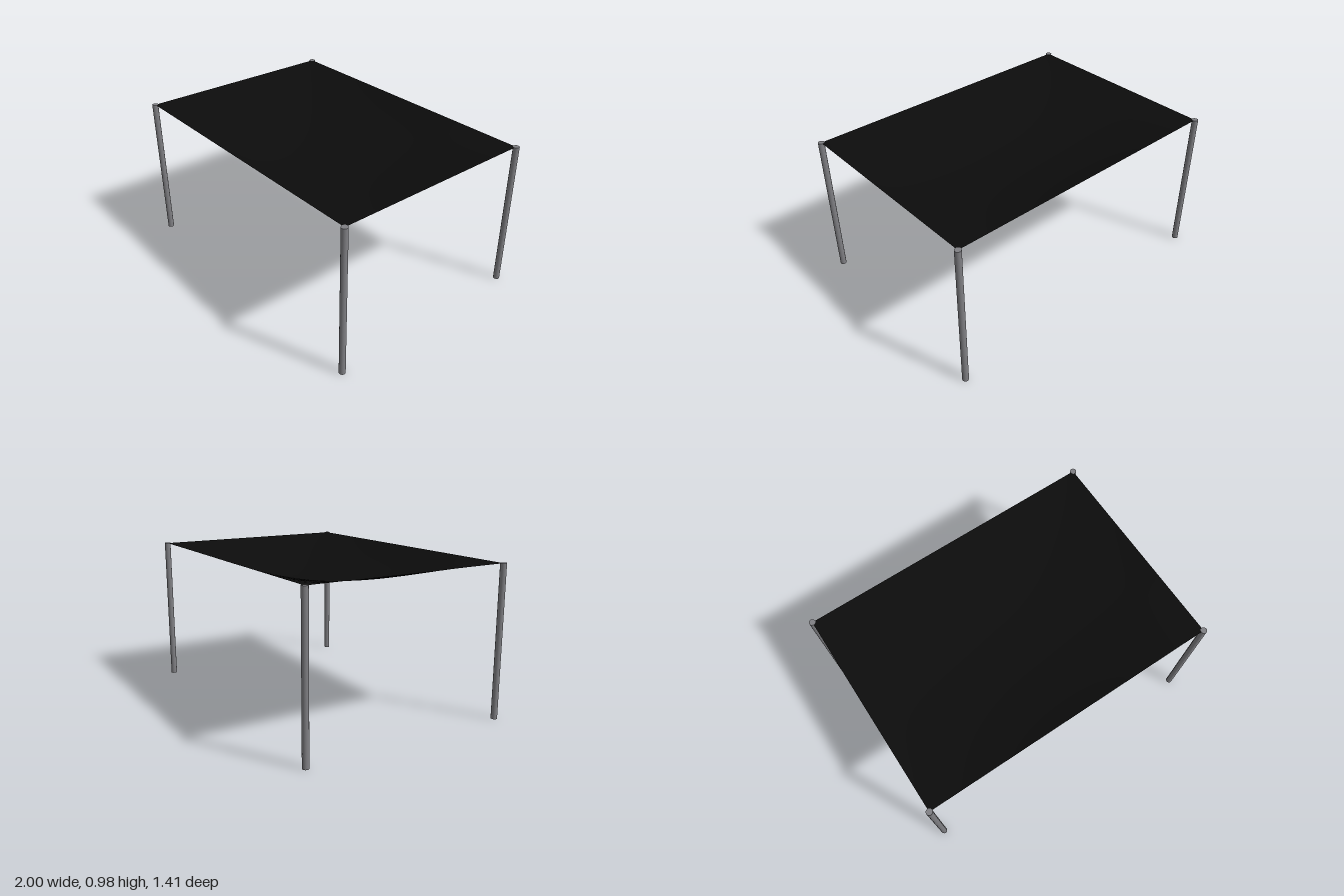
import * as THREE from 'three';

export function createModel() {
  const model = new THREE.Group();
  const metal = new THREE.MeshStandardMaterial({ name: 'grey metal', color: 0x808084 });
  const fabric = new THREE.MeshStandardMaterial({ name: 'black fabric', color: 0x0c0c0c, side: THREE.DoubleSide });

  const HALF_X = 0.98, HALF_Z = 0.685, HEIGHT = 0.982, SAG = 0.135, RADIUS = 0.02;

  // Four round corner posts
  const postGeometry = new THREE.CylinderGeometry(RADIUS, RADIUS, HEIGHT, 24);
  for (const [sx, sideName] of [[-1, 'Right'], [1, 'Left']]) {
    for (const [sz, endName] of [[1, 'front'], [-1, 'back']]) {
      const post = new THREE.Mesh(postGeometry, metal);
      post.name = `${endName}${sideName}Post`;
      post.position.set(sx * HALF_X, HEIGHT / 2, sz * HALF_Z);
      model.add(post);
    }
  }

  // Sheet stretched between the posts: straight edges, sagging middle
  const sheetGeometry = new THREE.PlaneGeometry(2 * HALF_X, 2 * HALF_Z, 48, 36).rotateX(-Math.PI / 2);
  const p = sheetGeometry.attributes.position;
  for (let i = 0; i < p.count; i++) {
    const u = Math.min(1, Math.abs(p.getX(i) / HALF_X));
    const v = Math.min(1, Math.abs(p.getZ(i) / HALF_Z));
    p.setY(i, HEIGHT - 0.002 - SAG * (1 - u ** 2.2) * (1 - v ** 2));
  }
  sheetGeometry.computeVertexNormals();
  const sheet = new THREE.Mesh(sheetGeometry, fabric);
  sheet.name = 'saggingSheet';
  model.add(sheet);

  return model;
}
